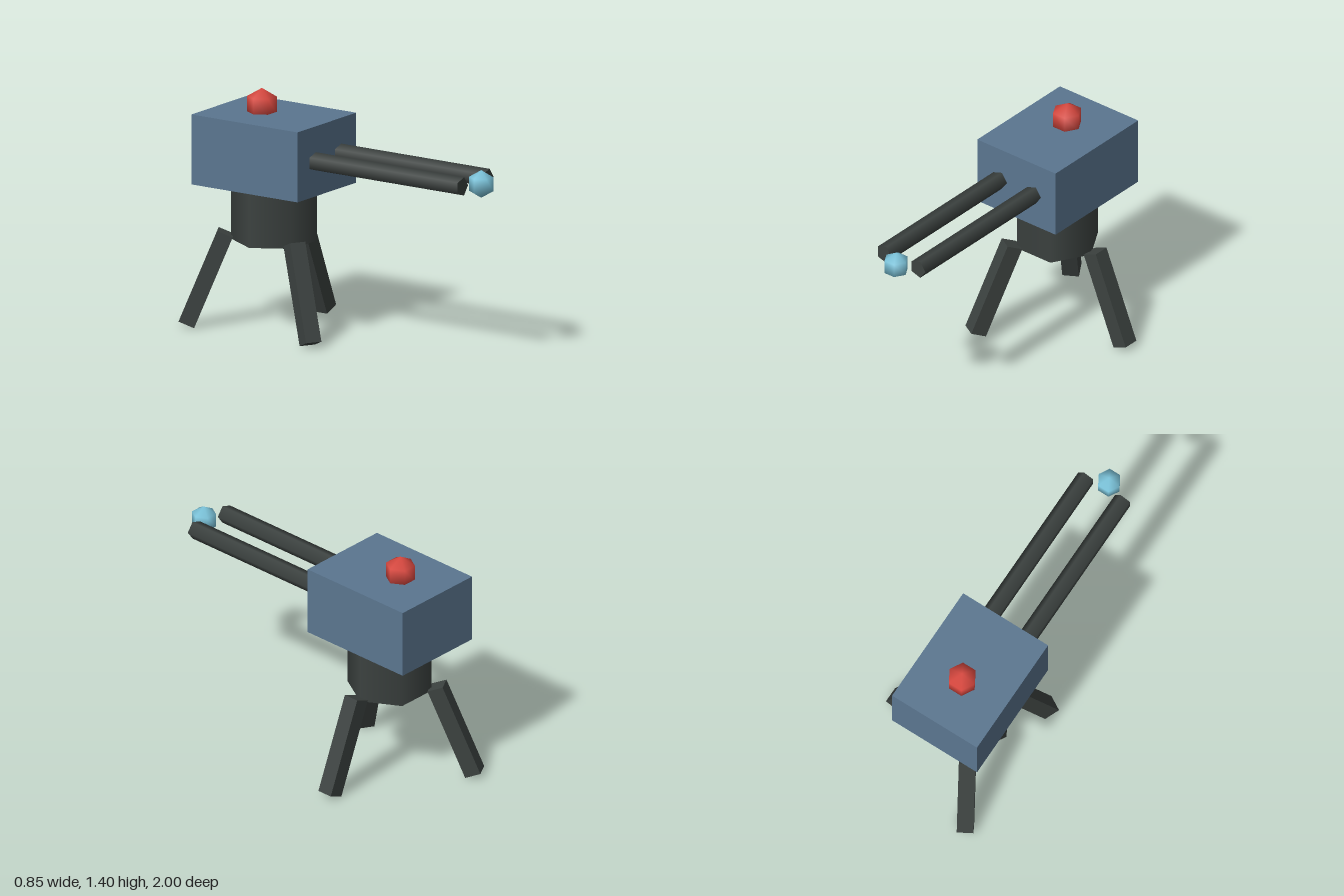
import * as THREE from 'three';

const CX = -0.115, CZ = -0.507; // vertical axis of the turret

function material(name, color) {
  const m = new THREE.MeshStandardMaterial({ color });
  m.name = name;
  return m;
}

export function createModel() {
  const model = new THREE.Group();
  model.name = 'tripodTurret';

  const dark = material('darkMetal', 0x3c4240);
  const blue = material('steelBlue', 0x5b7690);
  const red = material('red', 0xd9483f);
  const cyan = material('paleCyan', 0x7cc5dc);

  function add(name, geometry, mat, x, y, z, parent = model) {
    const mesh = new THREE.Mesh(geometry, mat);
    mesh.name = name;
    mesh.position.set(x, y, z);
    parent.add(mesh);
    return mesh;
  }

  // Housing on a six-sided pedestal
  add('housing', new THREE.BoxGeometry(0.577, 0.41, 0.74), blue, CX, 1.053, CZ - 0.002);
  add('pedestal', new THREE.CylinderGeometry(0.246, 0.246, 0.35, 6, 1, false, Math.PI / 2),
    dark, CX, 0.695, CZ);

  // Three splayed legs
  const legGeometry = new THREE.BoxGeometry(0.096, 0.58, 0.096);
  for (let i = 0; i < 3; i++) {
    const pivot = new THREE.Group();
    pivot.name = 'legPivot' + (i + 1);
    pivot.position.set(CX, 0, CZ);
    pivot.rotation.y = (i * Math.PI * 2) / 3;
    model.add(pivot);
    add('leg', legGeometry, dark, 0.387, 0.288, 0, pivot).rotation.z = 0.39;
  }

  // Twin five-sided barrels
  const barrelGeometry = new THREE.CylinderGeometry(0.056, 0.056, 1.1, 5, 1, false, Math.PI / 2)
    .rotateX(Math.PI / 2);
  add('leftBarrel', barrelGeometry, dark, CX + 0.125, 1.053, 0.345);
  add('rightBarrel', barrelGeometry, dark, CX - 0.125, 1.053, 0.345);

  // Beacon on the roof and charge between the muzzles
  add('beacon', new THREE.SphereGeometry(0.098, 6, 3), red, CX, 1.299, -0.592);
  add('muzzleCharge', new THREE.SphereGeometry(0.081, 6, 3), cyan, CX, 1.052, 0.938);

  return model;
}
